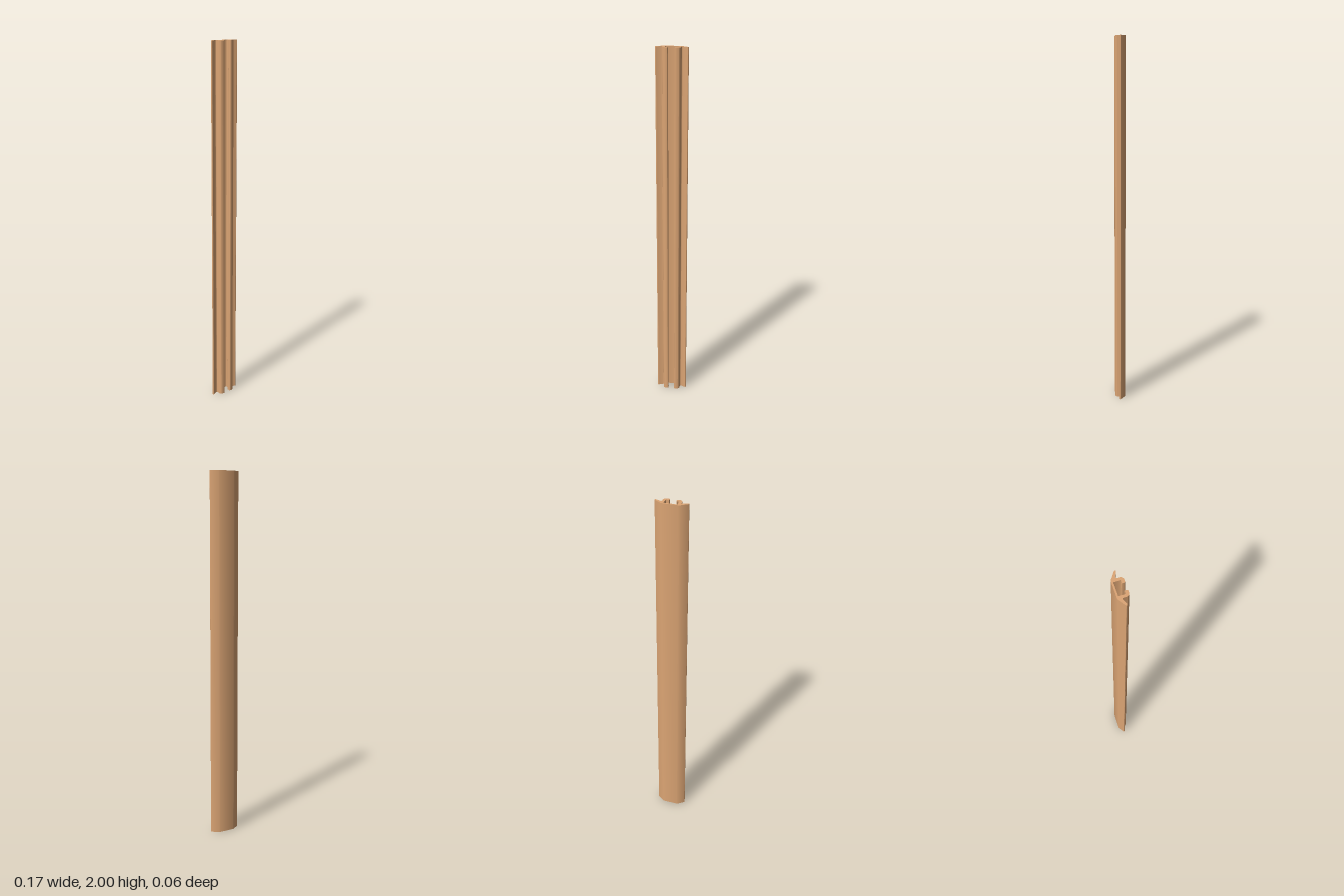
import * as THREE from 'three';
import { toCreasedNormals } from 'three/addons/utils/BufferGeometryUtils.js';

// Replace each corner [x, y, radius] of a closed polygon by an arc
function roundedOutline(corners, steps = 6) {
  const points = [];
  corners.forEach(([x, y, r], i) => {
    const n = corners.length;
    const c = new THREE.Vector2(x, y);
    const toPrev = new THREE.Vector2(...corners[(i + n - 1) % n].slice(0, 2)).sub(c).normalize();
    const toNext = new THREE.Vector2(...corners[(i + 1) % n].slice(0, 2)).sub(c).normalize();
    const half = Math.acos(THREE.MathUtils.clamp(toPrev.dot(toNext), -1, 1)) / 2;
    const centre = toPrev.clone().add(toNext).normalize().multiplyScalar(r / Math.sin(half)).add(c);
    const reach = r / Math.tan(half);
    const start = c.clone().addScaledVector(toPrev, reach).sub(centre);
    const end = c.clone().addScaledVector(toNext, reach).sub(centre);
    const sweep = Math.atan2(start.cross(end), start.dot(end));
    for (let k = 0; k <= steps; k++) {
      points.push(start.clone().rotateAround(new THREE.Vector2(), sweep * k / steps).add(centre));
    }
  });
  return points;
}

export function createModel() {
  const group = new THREE.Group();
  group.name = 'railProfile';

  // Half of the cross-section: x, depth towards the back, corner radius
  const half = [
    [0.045, 0.0295, 0.01],     // back face into sloping wing
    [0.0865, 0, 0.0033],       // wing tip
    [0.082, -0.0065, 0.0033],
    [0.0475, 0.0088, 0.006],   // groove under the wing
    [0.0475, -0.0295, 0.016],  // outside of the hook
    [0.0175, -0.0295, 0.005],
    [0.0175, -0.011, 0.0024],  // hook lip
    [0.0225, -0.011, 0.0024],
    [0.0225, -0.0145, 0.001],
    [0.034, -0.0145, 0.002],   // inner channel
    [0.034, 0.0215, 0.003],
  ];
  const mirrored = half.map(([x, y, r]) => [-x, y, r]).reverse();
  const shape = new THREE.Shape(roundedOutline([...half, ...mirrored]));

  // Extrude along the full height
  const extrusion = new THREE.ExtrudeGeometry(shape, { depth: 2, bevelEnabled: false });
  extrusion.rotateX(-Math.PI / 2);
  const rail = new THREE.Mesh(
    toCreasedNormals(extrusion, 0.5),
    new THREE.MeshStandardMaterial({ color: 0xdca574 })
  );
  rail.name = 'channelRail';
  group.add(rail);
  return group;
}
